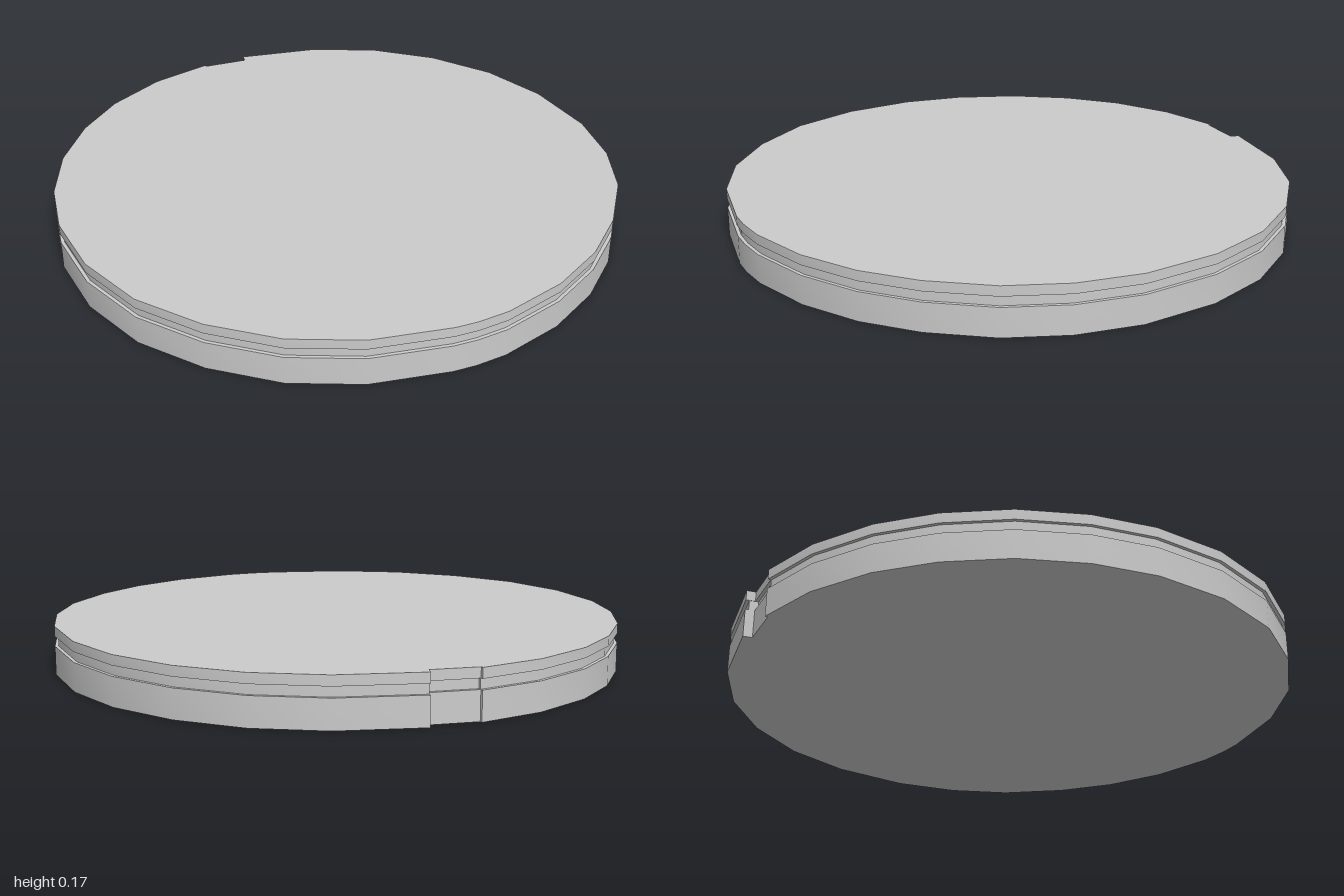
import * as THREE from 'three';
import { toCreasedNormals } from 'three/addons/utils/BufferGeometryUtils.js';

// Outline of the disc in plan (x, z), with the small notch at the back
const OUTLINE = [
  [0, -1], [-0.23, -0.975], [-0.45, -0.895], [-0.63, -0.775], [-0.79, -0.61],
  [-0.91, -0.41], [-0.98, -0.2], [-1, 0.06], [-0.95, 0.32], [-0.83, 0.55],
  [-0.66, 0.745], [-0.45, 0.885], [-0.19, 0.975], [-0.11, 0.99], [0, 0.997],
  [0.23, 0.967], [0.44, 0.89], [0.62, 0.775], [0.79, 0.61], [0.905, 0.42],
  [0.975, 0.2], [0.99, -0.08], [0.94, -0.33], [0.825, -0.56], [0.66, -0.75],
  [0.45, -0.89], [0.17, -0.985], [0.16, -0.955], [0, -0.99],
];

// One flat layer of the disc between two heights
function layer(name, bottom, top, scale, material) {
  const shape = new THREE.Shape(OUTLINE.map(([x, z]) => new THREE.Vector2(x * scale, -z * scale)));
  const extruded = new THREE.ExtrudeGeometry(shape, { depth: top - bottom, bevelEnabled: false });
  extruded.rotateX(-Math.PI / 2).translate(0, bottom, 0);
  const mesh = new THREE.Mesh(toCreasedNormals(extruded, 0.5), material);
  mesh.name = name;
  return mesh;
}

export function createModel() {
  const group = new THREE.Group();
  group.name = 'notchedDisc';
  const material = new THREE.MeshStandardMaterial({ color: 0xcccccc });
  group.add(
    layer('base', 0, 0.1, 1, material),
    layer('groove', 0.1, 0.135, 0.988, material),
    layer('topRim', 0.135, 0.17, 1, material),
  );
  return group;
}
